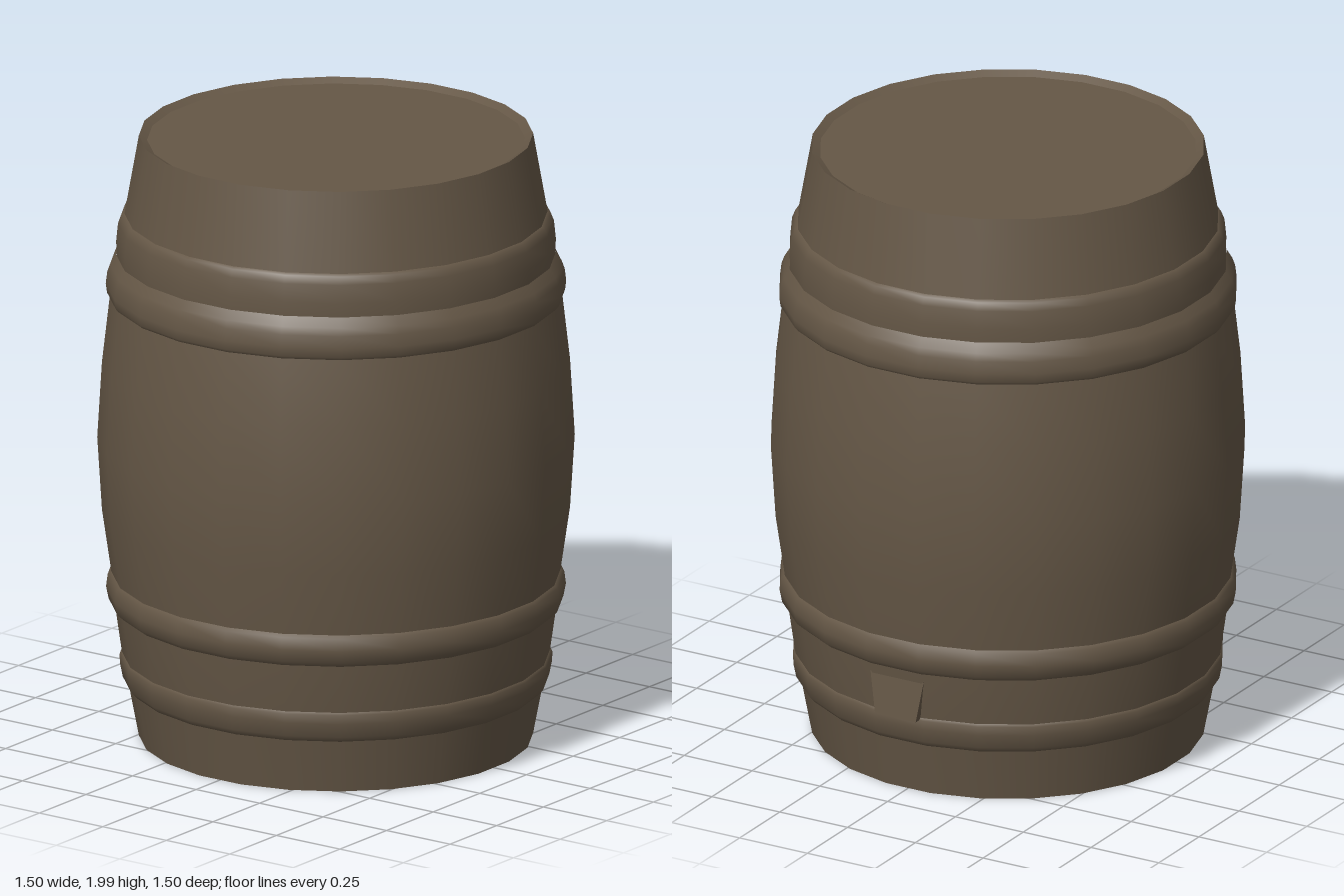
import * as THREE from 'three';

const SIDES = 24;
const PHASE = Math.PI / SIDES;

export function createModel() {
  const barrel = new THREE.Group();
  barrel.name = 'barrel';
  const wood = new THREE.MeshStandardMaterial({ color: 0x655746 });
  wood.name = 'dark brown wood';

  const add = (name, geometry) => {
    const mesh = new THREE.Mesh(geometry, wood);
    mesh.name = name;
    barrel.add(mesh);
    return mesh;
  };

  // Profiles are [radius, height] pairs, turned about the upright axis
  const turn = (name, profile) => add(name, new THREE.LatheGeometry(
    profile.map(([r, y]) => new THREE.Vector2(r, y)), SIDES, PHASE, Math.PI * 2));

  // Bulging staves
  turn('staves', [
    [0.626, 0.01], [0.66, 0.19], [0.68, 0.29], [0.704, 0.46], [0.714, 0.56],
    [0.743, 0.76], [0.758, 1.0], [0.743, 1.25], [0.719, 1.46],
    [0.695, 1.6], [0.672, 1.74], [0.626, 2],
  ]);

  // Rounded hoops near both ends
  turn('lowestHoop', [[0.659, 0.185], [0.677, 0.205], [0.686, 0.25], [0.687, 0.28], [0.678, 0.288]]);
  turn('lowerHoop', [[0.7, 0.445], [0.722, 0.465], [0.73, 0.505], [0.725, 0.545], [0.711, 0.556]]);
  turn('upperHoop', [[0.716, 1.468], [0.727, 1.48], [0.731, 1.51], [0.726, 1.55], [0.717, 1.575], [0.698, 1.605]]);
  turn('highestHoop', [[0.696, 1.6], [0.698, 1.65], [0.692, 1.71], [0.682, 1.735], [0.671, 1.742]]);

  // Nearly flush ends: thin rim sloping down to a flat lid
  const DEPTH = 0.015;
  for (const [end, y, dir] of [['top', 2, 1], ['bottom', 0.01, -1]]) {
    const rim = [[0.626, y], [0.6, y - dir * DEPTH]];
    turn(end + 'Rim', dir > 0 ? rim : rim.reverse());
    const lid = add(end + 'Lid', new THREE.CircleGeometry(0.6, SIDES, PHASE, Math.PI * 2));
    lid.rotation.x = -dir * Math.PI / 2;
    lid.position.y = y - dir * DEPTH;
  }

  // Small tapered bung plate on the side, narrower at its lipped lower edge
  const outline = new THREE.Shape([
    new THREE.Vector2(-0.075, 0.28), new THREE.Vector2(0.075, 0.28),
    new THREE.Vector2(0.1, 0.43), new THREE.Vector2(-0.1, 0.43),
  ]);
  const plate = new THREE.ExtrudeGeometry(outline, { depth: 0.07, bevelEnabled: false });
  const p = plate.attributes.position;
  for (let i = 0; i < p.count; i++) {
    // Outer face leans out toward the bottom
    const low = (0.43 - p.getY(i)) / 0.15;
    p.setZ(i, 0.63 + (p.getZ(i) > 0.01 ? 0.06 + 0.012 * low : 0));
  }
  plate.computeVertexNormals();
  add('bungPlate', plate).rotation.y = Math.PI / 2;

  return barrel;
}
